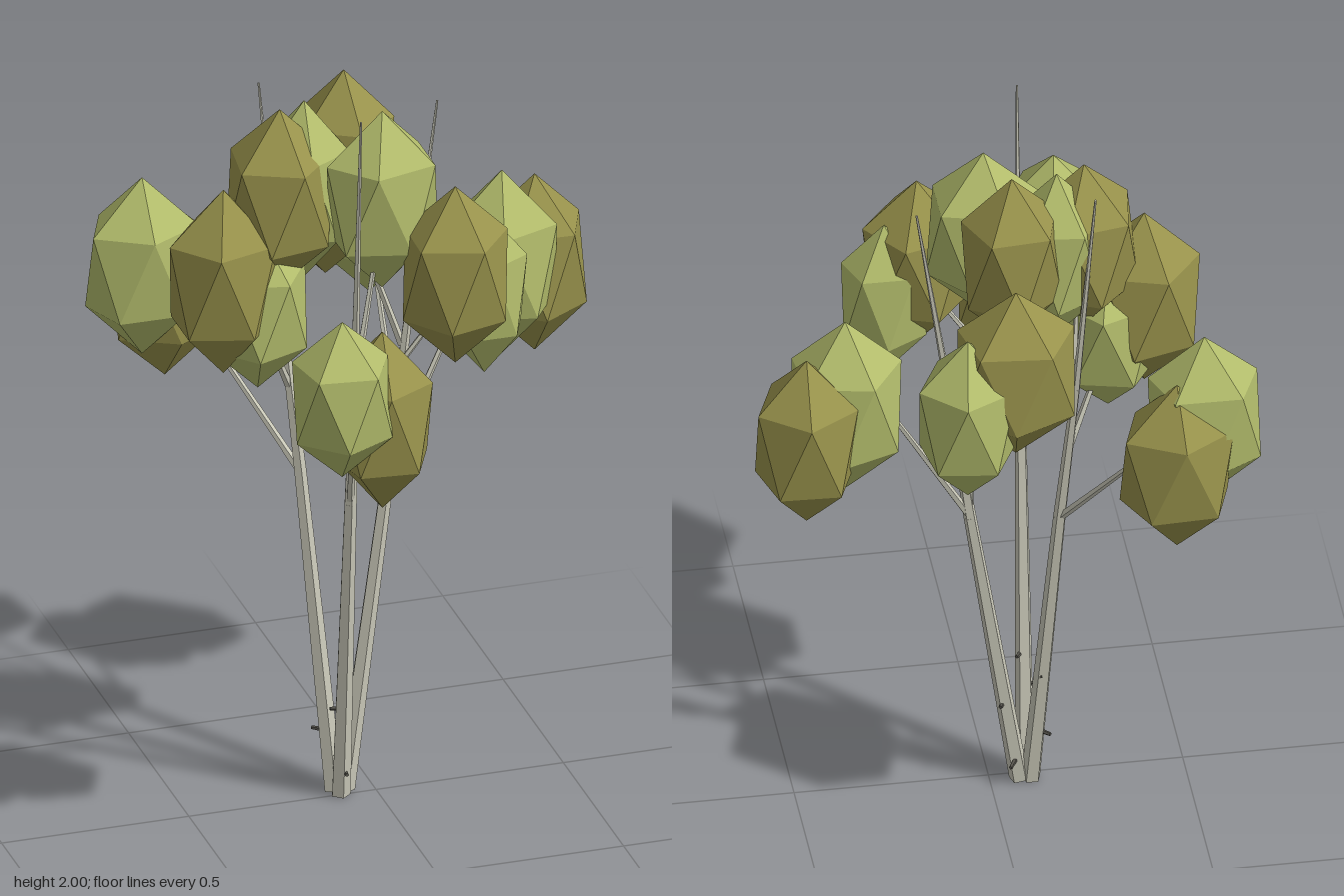
import * as THREE from 'three';

const bark = new THREE.MeshStandardMaterial({ color: 0xc9c8b8, flatShading: true });
const knotMat = new THREE.MeshStandardMaterial({ color: 0x55534c, flatShading: true });
const lightLeaf = new THREE.MeshStandardMaterial({ color: 0xb3bd6c, flatShading: true });
const darkLeaf = new THREE.MeshStandardMaterial({ color: 0x99934c, flatShading: true });

// Tapered five-sided limb between two points
function limb(name, a, b, r0, r1, material = bark) {
  const from = new THREE.Vector3(...a);
  const to = new THREE.Vector3(...b);
  const dir = to.clone().sub(from);
  const mesh = new THREE.Mesh(new THREE.CylinderGeometry(r1, r0, dir.length(), 5), material);
  mesh.position.copy(from).add(to).multiplyScalar(0.5);
  mesh.quaternion.setFromUnitVectors(new THREE.Vector3(0, 1, 0), dir.normalize());
  mesh.name = name;
  return mesh;
}

// Stretched icosahedron with one corner pointing up
const leafGeometry = new THREE.IcosahedronGeometry(1, 0);
leafGeometry.rotateZ(Math.atan(2 / (1 + Math.sqrt(5))));

export function createModel() {
  const tree = new THREE.Group();
  tree.name = 'tree';

  // Three stems: base, fork and tip
  const stems = [
    { name: 'leftStem', points: [[-0.105, 0, -0.03], [-0.165, 0.87, -0.12], [-0.2, 1.3, -0.165], [-0.24, 1.93, -0.23]] },
    { name: 'frontStem', points: [[-0.095, 0, 0], [-0.1, 0.87, 0.095], [-0.1, 1.3, 0.135], [-0.105, 2, 0.2]] },
    { name: 'rightStem', points: [[-0.075, 0, -0.025], [0.06, 0.87, -0.08], [0.12, 1.3, -0.1], [0.205, 1.86, -0.13]] },
  ];
  const radii = [0.026, 0.017, 0.011, 0.003];
  for (const { name, points } of stems) {
    const stem = new THREE.Group();
    stem.name = name;
    for (let i = 0; i < 3; i++) stem.add(limb('stemSection', points[i], points[i + 1], radii[i], radii[i + 1]));
    tree.add(stem);
  }

  // Branches reaching into the crowns
  const branches = [
    [[-0.165, 0.87, -0.12], [-0.42, 1.32, -0.42]],
    [[-0.1, 0.87, 0.095], [-0.16, 1.36, 0.33]],
    [[0.06, 0.87, -0.08], [0.36, 1.42, -0.18]],
    [[-0.185, 1.1, -0.145], [-0.33, 1.45, -0.05]],
    [[-0.19, 1.2, -0.155], [-0.22, 1.62, -0.08]],
    [[-0.1, 1.1, 0.115], [0.15, 1.45, 0.16]],
    [[-0.1, 1.2, 0.125], [0, 1.6, 0.03]],
    [[0.08, 1.02, -0.09], [0.1, 1.42, -0.38]],
    [[0.1, 1.2, -0.1], [-0.03, 1.6, -0.15]],
    // short dead stubs
    [[0.06, 0.9, -0.08], [0.06, 1.22, -0.1]],
    [[-0.1, 1.0, 0.1], [-0.095, 1.2, 0.09]],
  ];
  branches.forEach(([a, b]) => tree.add(limb('branch', a, b, 0.011, 0.005)));

  // Tiny twig stumps low on the stems
  const knots = [
    [[-0.09, 0.07, 0.005], [-0.09, 0.07, 0.04]],
    [[-0.07, 0.07, -0.03], [-0.045, 0.07, -0.08]],
    [[-0.115, 0.16, -0.045], [-0.148, 0.16, -0.075]],
    [[-0.095, 0.255, 0.025], [-0.13, 0.255, 0.02]],
    [[-0.035, 0.255, -0.04], [-0.02, 0.255, -0.07]],
    [[-0.095, 0.35, 0.04], [-0.075, 0.35, 0.01]],
    [[-0.13, 0.35, -0.065], [-0.12, 0.35, -0.085]],
  ];
  knots.forEach(([a, b]) => tree.add(limb('twigStump', a, b, 0.007, 0.005, knotMat)));

  // Leaf clumps: centre, half sizes in x, y, z, turn
  const clumps = [
    [lightLeaf, [-0.49, 1.36, -0.42], [0.165, 0.25, 0.13], 0.3],
    [darkLeaf, [-0.41, 1.26, -0.48], [0.165, 0.25, 0.13], 1.0],
    [darkLeaf, [-0.01, 1.53, -0.39], [0.175, 0.25, 0.145], 0.2],
    [lightLeaf, [0.12, 1.43, -0.43], [0.145, 0.24, 0.14], 0.8],
    [lightLeaf, [0.4, 1.34, -0.2], [0.165, 0.26, 0.14], 0.1],
    [darkLeaf, [0.51, 1.29, -0.27], [0.15, 0.25, 0.14], 0.9],
    [darkLeaf, [-0.395, 1.48, -0.04], [0.16, 0.26, 0.145], 0.0],
    [lightLeaf, [-0.3, 1.39, -0.05], [0.145, 0.23, 0.14], 0.7],
    [darkLeaf, [-0.235, 1.68, -0.07], [0.155, 0.25, 0.15], 0.5],
    [lightLeaf, [-0.16, 1.68, -0.1], [0.13, 0.25, 0.13], 0.2],
    [darkLeaf, [-0.035, 1.72, -0.16], [0.145, 0.25, 0.135], 0.4],
    [lightLeaf, [0.01, 1.68, 0.02], [0.165, 0.25, 0.135], 0.0],
    [darkLeaf, [0.16, 1.51, 0.16], [0.155, 0.25, 0.145], 0.6],
    [lightLeaf, [0.25, 1.43, 0.12], [0.125, 0.23, 0.1], 0.3],
    [lightLeaf, [-0.24, 1.36, 0.465], [0.145, 0.22, 0.14], 0.8],
    [darkLeaf, [-0.11, 1.25, 0.395], [0.145, 0.25, 0.14], 0.2],
  ];
  for (const [material, centre, size, turn] of clumps) {
    const clump = new THREE.Mesh(leafGeometry.clone().rotateY(turn).scale(...size), material);
    clump.position.set(...centre);
    clump.name = 'leafClump';
    tree.add(clump);
  }
  return tree;
}
